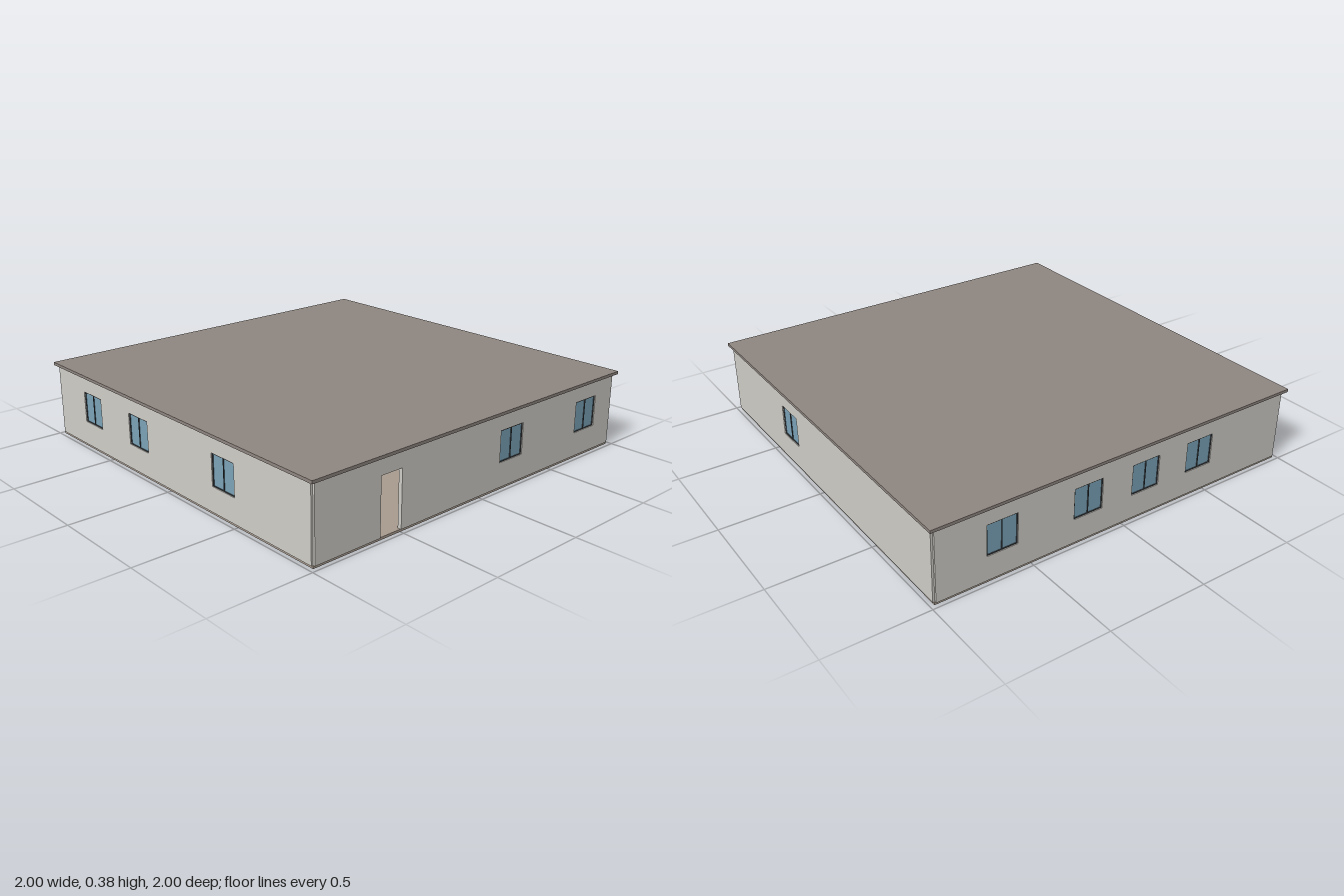
import * as THREE from 'three';

const FLOOR = 0.012, EAVES = 0.37, HALF = 0.975, THICK = 0.02;
const WIN = 0.155, SILL = 0.135, DOOR_W = 0.12, DOOR_TOP = 0.29;

const paint = (color) => new THREE.MeshStandardMaterial({ color });

export function createModel() {
  const house = new THREE.Group();
  house.name = 'house';
  const wallMat = paint(0xd0cec8), roofMat = paint(0x8f8680), floorMat = paint(0xa99c90);
  const glassMat = paint(0x7ba3b8), frameMat = paint(0x3c4145);

  function box(parent, name, mat, w, h, d, x, y, z) {
    const mesh = new THREE.Mesh(new THREE.BoxGeometry(w, h, d), mat);
    mesh.name = name;
    mesh.position.set(x, y, z);
    parent.add(mesh);
  }

  // Two panes in a slim frame, set back inside the wall opening
  function addWindow(parent, u) {
    const win = new THREE.Group();
    win.name = 'window';
    win.position.set(u, SILL + WIN / 2, HALF);
    const bar = 0.004, depth = 0.012, edge = (WIN - bar) / 2;
    for (const s of [-1, 1]) {
      box(win, 'pane', glassMat, WIN / 2, WIN, 0.004, s * WIN / 4, 0, 0);
      box(win, 'frameSide', frameMat, bar, WIN, depth, s * edge, 0, 0);
      box(win, 'frameRail', frameMat, WIN, bar, depth, 0, s * edge, 0);
    }
    box(win, 'mullion', frameMat, bar, WIN, depth, 0, 0, 0);
    parent.add(win);
  }

  // One outer wall, drawn facing +z and then turned into place
  function addWall(name, turn, windows, door) {
    const side = new THREE.Group();
    side.name = name;
    const shape = new THREE.Shape().moveTo(-HALF, FLOOR);
    if (door !== undefined) {
      shape.lineTo(door - DOOR_W / 2, FLOOR).lineTo(door - DOOR_W / 2, DOOR_TOP)
        .lineTo(door + DOOR_W / 2, DOOR_TOP).lineTo(door + DOOR_W / 2, FLOOR);
    }
    shape.lineTo(HALF, FLOOR).lineTo(HALF, EAVES).lineTo(-HALF, EAVES).closePath();
    for (const u of windows) {
      const a = u - WIN / 2, b = u + WIN / 2, top = SILL + WIN;
      shape.holes.push(new THREE.Path().moveTo(a, SILL).lineTo(a, top)
        .lineTo(b, top).lineTo(b, SILL).closePath());
      addWindow(side, u);
    }
    const geo = new THREE.ExtrudeGeometry(shape, { depth: THICK, bevelEnabled: false });
    const mesh = new THREE.Mesh(geo.translate(0, 0, HALF - THICK / 2), wallMat);
    mesh.name = name + 'Panel';
    side.add(mesh);
    side.rotation.y = turn;
    house.add(side);
  }

  // Floor and flat roof with a small overhang
  box(house, 'floorSlab', floorMat, 1.96, FLOOR, 1.96, 0, FLOOR / 2, 0);
  box(house, 'roofSlab', roofMat, 2, 0.015, 2, 0, EAVES + 0.0075, 0);

  // Outer walls with windows and an open doorway in front
  addWall('frontWall', 0, [0.205, 0.765], -0.56);
  addWall('rightWall', Math.PI / 2, [-0.31]);
  addWall('backWall', Math.PI, [-0.65, -0.2, 0.125, 0.45]);
  addWall('leftWall', -Math.PI / 2, [-0.655, -0.245, 0.41]);

  // Inner wall beyond the entrance
  box(house, 'partition', wallMat, HALF + 0.56, EAVES - FLOOR, THICK,
    (HALF - 0.56) / 2, (EAVES + FLOOR) / 2, 0.1);

  return house;
}
